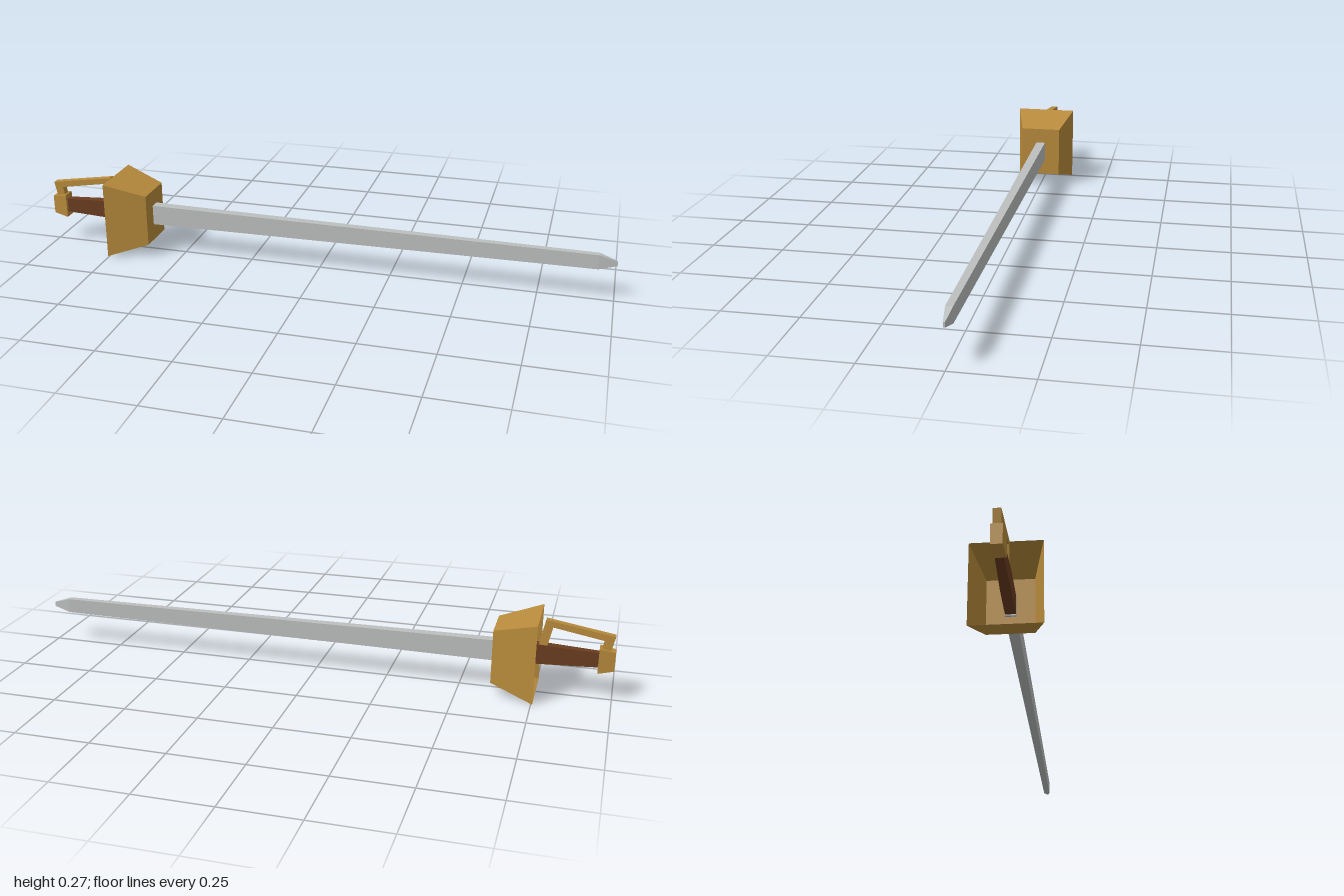
import * as THREE from 'three';

// Rectangular loft along x; each section is [x, yBottom, yTop, halfDepth]
function loft(sections, openStart = false) {
  const rings = sections.map(([x, y0, y1, z]) => [
    [x, y0, z], [x, y0, -z], [x, y1, -z], [x, y1, z],
  ]);
  const pos = [];
  const quad = (a, b, c, d) => pos.push(...a, ...b, ...c, ...a, ...c, ...d);
  for (let s = 0; s < rings.length - 1; s++) {
    const a = rings[s], b = rings[s + 1];
    for (let i = 0; i < 4; i++) {
      const j = (i + 1) % 4;
      quad(a[i], a[j], b[j], b[i]);
    }
  }
  const first = rings[0], last = rings[rings.length - 1];
  if (!openStart) quad(first[3], first[2], first[1], first[0]);
  quad(...last);
  const geo = new THREE.BufferGeometry();
  geo.setAttribute('position', new THREE.Float32BufferAttribute(pos, 3));
  geo.computeVertexNormals();
  return geo;
}

export function createModel() {
  const material = (name, color) => {
    const m = new THREE.MeshStandardMaterial({ color, flatShading: true, side: THREE.DoubleSide });
    m.name = name;
    return m;
  };
  const steel = material('steel', 0xbcc0be);
  const brass = material('brass', 0xb98c3c);
  const leather = material('leather', 0x6b3d20);

  const group = new THREE.Group();
  group.name = 'sword';
  const add = (name, geo, mat) => {
    const mesh = new THREE.Mesh(geo, mat);
    mesh.name = name;
    group.add(mesh);
  };

  // Long tapering blade with a blunt point
  add('blade', loft([
    [-0.62, 0.102, 0.173, 0.017],
    [0.94, 0.113, 0.163, 0.011],
    [1.0, 0.128, 0.144, 0.003],
  ]), steel);

  // Hollow cup guard, open toward the hand
  add('guard', loft([
    [-0.755, 0, 0.271, 0.109],
    [-0.612, 0.045, 0.228, 0.073],
  ], true), brass);

  // Grip, running into the cup
  add('grip', loft([
    [-0.955, 0.114, 0.163, 0.012],
    [-0.755, 0.106, 0.173, 0.016],
    [-0.613, 0.106, 0.173, 0.016],
  ]), leather);

  // Flared pommel
  add('pommel', loft([
    [-1.0, 0.107, 0.172, 0.017],
    [-0.948, 0.096, 0.181, 0.023],
  ]), brass);

  // Angular knuckle bow from pommel to guard
  const bow = new THREE.Shape([
    [-0.984, 0.17], [-0.995, 0.224], [-0.773, 0.26], [-0.754, 0.17],
    [-0.782, 0.17], [-0.797, 0.236], [-0.962, 0.207], [-0.954, 0.17],
  ].map(([x, y]) => new THREE.Vector2(x, y)));
  const bowGeo = new THREE.ExtrudeGeometry(bow, { depth: 0.024, bevelEnabled: false });
  bowGeo.translate(0, 0, -0.012);
  add('knuckleBow', bowGeo, brass);

  return group;
}
